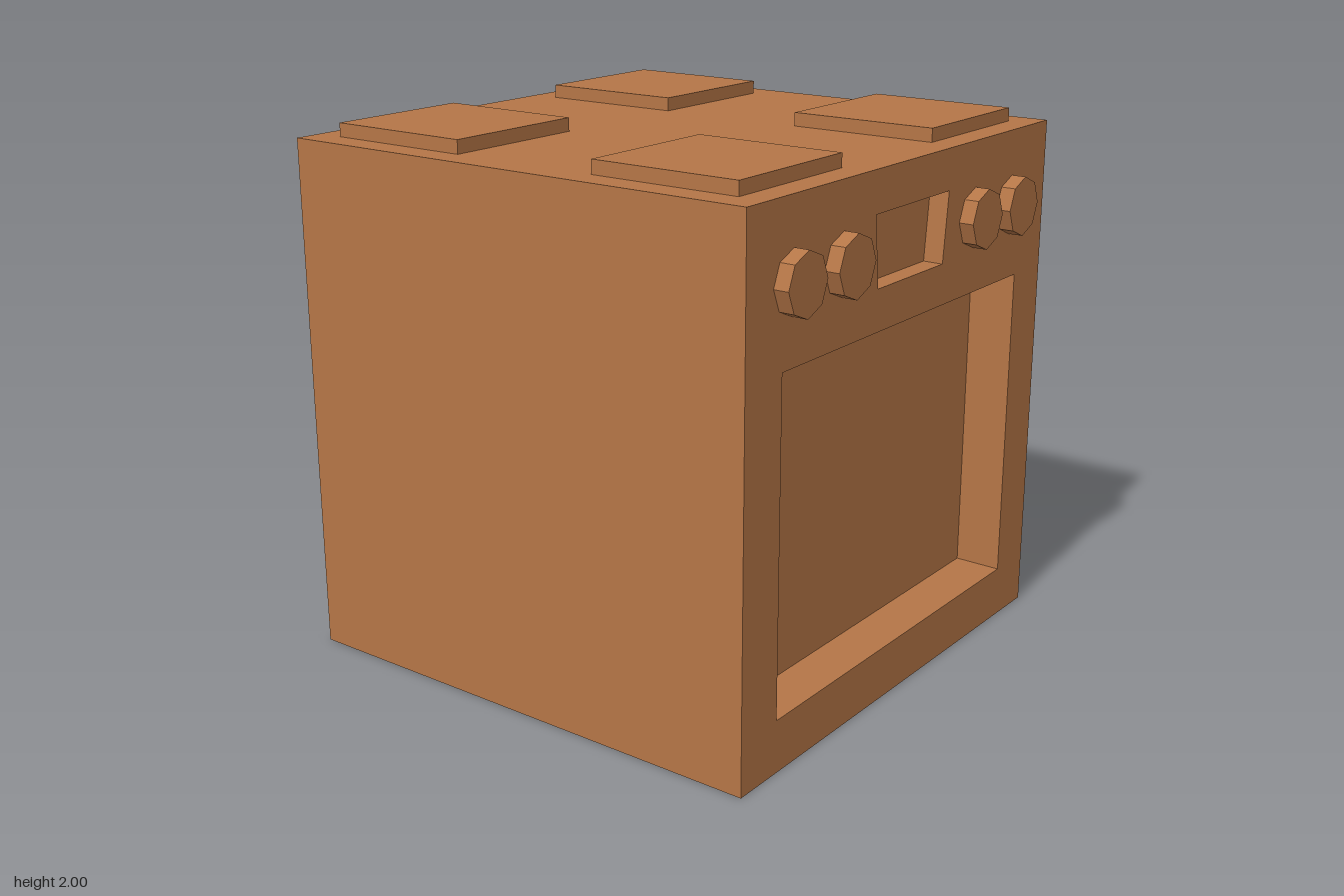
import * as THREE from 'three';

const W = 0.975, H = 1.95, BACK = -1, FRONT = 0.945;
const WINDOW_DEPTH = 0.18, DISPLAY_DEPTH = 0.075;

const polygon = (Type, points) => new Type(points.map(([x, y]) => new THREE.Vector2(x, y)));

export function createModel() {
  const brown = new THREE.MeshStandardMaterial({ color: 0xb57647 });
  brown.name = 'brown';

  const group = new THREE.Group();
  group.name = 'stove';

  const add = (name, geometry, x, y, z) => {
    const mesh = new THREE.Mesh(geometry, brown);
    mesh.name = name;
    mesh.position.set(x, y, z);
    group.add(mesh);
    return mesh;
  };

  // Front slab with cut-outs, from z up to z + depth
  const addPanel = (name, z, depth, holes) => {
    const shape = polygon(THREE.Shape, [[-W, 0], [W, 0], [W, H], [-W, H]]);
    shape.holes.push(...holes.map((points) => polygon(THREE.Path, points)));
    add(name, new THREE.ExtrudeGeometry(shape, { depth, bevelEnabled: false }), 0, 0, z);
  };

  const doorHole = [[-0.775, 0.195], [-0.775, 1.395], [0.775, 1.395], [0.775, 0.195]];
  const displayHole = [[-0.215, 1.545], [-0.242, 1.8], [0.242, 1.8], [0.215, 1.545]];

  // Body: solid rear block and two front layers, giving recesses of two depths
  const blockFront = FRONT - WINDOW_DEPTH;
  const blockDepth = blockFront - BACK;
  add('body', new THREE.BoxGeometry(2 * W, H, blockDepth), 0, H / 2, BACK + blockDepth / 2);
  addPanel('doorFrame', blockFront, WINDOW_DEPTH - DISPLAY_DEPTH, [doorHole]);
  addPanel('controlPanel', FRONT - DISPLAY_DEPTH, DISPLAY_DEPTH, [doorHole, displayHole]);

  // Four square hot plates
  for (const x of [-0.58, 0.58]) {
    for (const z of [-0.607, 0.553]) {
      add('hotPlate', new THREE.BoxGeometry(0.575, 0.05, 0.575), x, H + 0.025, z);
    }
  }

  // Four eight-sided knobs
  const knob = new THREE.CylinderGeometry(0.11, 0.11, 1 - FRONT, 8).toNonIndexed();
  knob.rotateX(Math.PI / 2);
  knob.computeVertexNormals();
  for (const x of [-0.72, -0.435, 0.435, 0.712]) {
    add('knob', knob, x, 1.672, (1 + FRONT) / 2);
  }

  return group;
}
